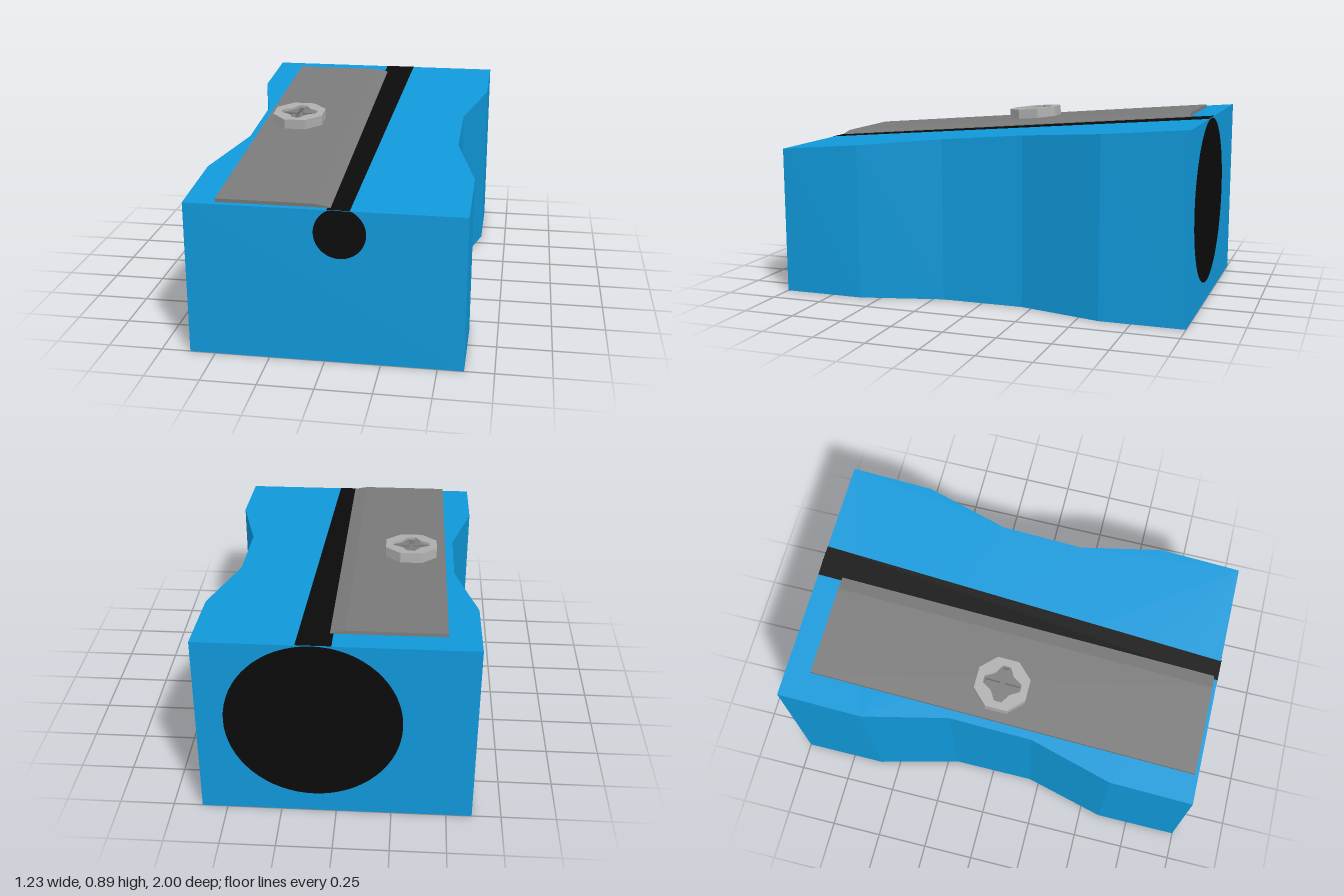
import * as THREE from 'three';

const mat = (name, color, side = THREE.FrontSide) => {
  const m = new THREE.MeshStandardMaterial({ color, side });
  m.name = name;
  return m;
};

const shapeOf = (points) => new THREE.Shape(points.map(([x, y]) => new THREE.Vector2(x, y)));

// Extrude a plan outline upward from y0 to y1 (outline y becomes -z)
function slab(shape, y0, y1) {
  const g = new THREE.ExtrudeGeometry(shape, { depth: y1 - y0, bevelEnabled: false });
  return g.rotateX(-Math.PI / 2).translate(0, y0, 0);
}

// Repeat the points of one quadrant four times around the centre
function fourfold(points) {
  const out = [];
  for (let i = 0; i < 4; i++) {
    const c = Math.round(Math.cos(i * Math.PI / 2)), s = Math.round(Math.sin(i * Math.PI / 2));
    for (const [x, y] of points) out.push([x * c - y * s, x * s + y * c]);
  }
  return out;
}

export function createModel() {
  const blue = mat('bodyBlue', 0x1099da);
  const black = mat('holeBlack', 0x0b0b0b, THREE.DoubleSide);
  const steel = mat('bladeGrey', 0x7a7a7a);
  const silver = mat('screwSilver', 0xaeaeae);
  const recessGrey = mat('recessGrey', 0x7c7c7c);

  const model = new THREE.Group();
  model.name = 'pencilSharpener';
  const add = (parent, name, geometry, material) => {
    const mesh = new THREE.Mesh(geometry, material);
    mesh.name = name;
    parent.add(mesh);
    return mesh;
  };

  // Body: waisted outline, top sloping up towards the back
  const SLOPE = 0.085, MID = 0.8;
  const half = [[0.617, -1], [0.617, -0.6], [0.515, -0.2], [0.515, 0.2], [0.617, 0.6], [0.617, 1]];
  const outline = [...half, ...half.map(([x, y]) => [-x, -y])];
  const body = slab(shapeOf(outline), 0, 1);
  const p = body.attributes.position;
  for (let i = 0; i < p.count; i++) {
    if (p.getY(i) > 0.5) p.setY(i, MID - SLOPE * p.getZ(i));
  }
  body.computeVertexNormals();
  add(model, 'body', body, blue);

  // Small front opening, cut flat by the top edge
  const cut = Math.asin(0.104 / 0.115);
  const front = new THREE.Shape();
  front.absarc(0.07, 0.611, 0.115, Math.PI - cut, 2 * Math.PI + cut, false);
  add(model, 'frontOpening', new THREE.ShapeGeometry(front, 48).translate(0, 0, 1.0015), black);

  // Large pencil opening at the back
  const back = new THREE.CircleGeometry(0.394, 64).rotateY(Math.PI);
  add(model, 'backOpening', back.translate(0.1, 0.49, -1.0015), black);

  // Everything lying on the sloping top
  const top = new THREE.Group();
  top.name = 'topParts';
  top.position.y = MID;
  top.rotation.x = Math.atan(SLOPE);
  model.add(top);

  const slot = shapeOf([[0.015, -1.0036], [0.115, -1.0036], [0.17, 1.0036], [0.015, 1.0036]]);
  add(top, 'shavingSlot', new THREE.ShapeGeometry(slot).rotateX(-Math.PI / 2).translate(0, 0.0015, 0), black);

  // Blade with a ground cutting edge
  const profile = shapeOf([[-0.475, 0.002], [0.03, 0.002], [0.03, 0.005], [-0.035, 0.018], [-0.475, 0.018]]);
  const blade = new THREE.ExtrudeGeometry(profile, { depth: 1.87, bevelEnabled: false });
  add(top, 'blade', blade.translate(0, 0, -0.886), steel);

  // Eight-sided screw with a star recess and a deeper cross inside it
  const screw = new THREE.Group();
  screw.name = 'screw';
  screw.position.x = -0.305;
  top.add(screw);

  const star = fourfold([[0.09, -0.018], [0.09, 0.018], [0.045, 0.045]]);
  const cross = fourfold([[0.085, -0.012], [0.085, 0.012], [0.012, 0.012]]);
  const head = shapeOf(fourfold([[0.125, -0.052], [0.125, 0.052]]));
  head.holes.push(shapeOf(star));
  add(screw, 'screwHead', slab(head, 0.018, 0.067), silver);

  const step = shapeOf(star);
  step.holes.push(shapeOf(cross));
  add(screw, 'screwRecess', slab(step, 0.018, 0.055), recessGrey);
  add(screw, 'crossFloor', slab(shapeOf(cross), 0.018, 0.03), recessGrey);

  return model;
}
